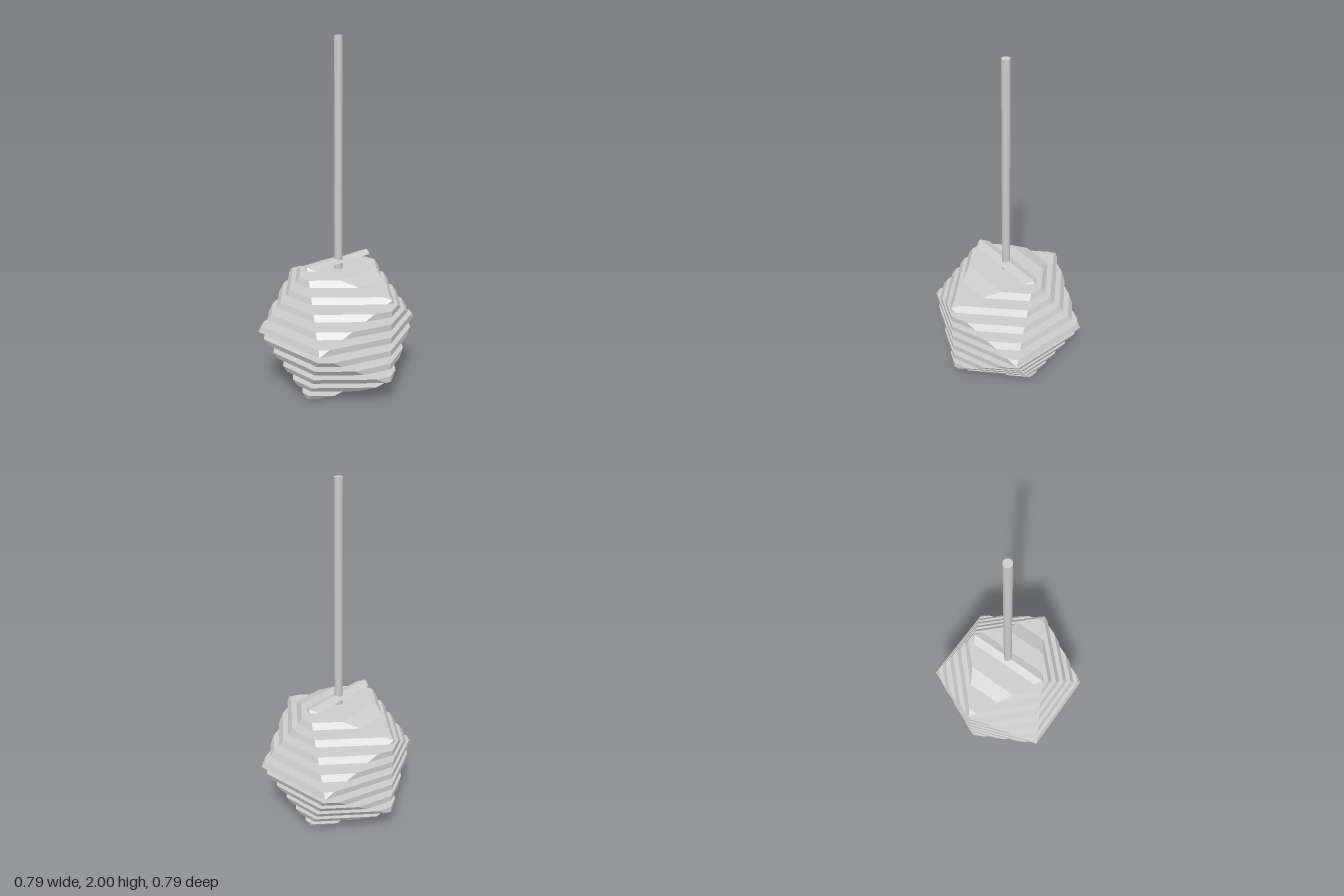
import * as THREE from 'three';
import { ConvexGeometry } from 'three/addons/geometries/ConvexGeometry.js';

const A = 0.245, B = 0.397;   // short and long half sizes of the icosahedron
const STRETCH = 1.006;        // slight vertical stretch
const PITCH = 0.076, THICK = 0.033, COUNT = 11;
const CENTRE = 5 * PITCH;     // the middle slab starts at the widest level

// The 12 icosahedron corners: three crossed rectangles
function icosahedronCorners() {
  const corners = [];
  for (const s of [-1, 1]) for (const t of [-1, 1]) {
    corners.push(
      new THREE.Vector3(s * A, t * B, 0),
      new THREE.Vector3(0, s * A, t * B),
      new THREE.Vector3(t * B, 0, s * A));
  }
  return corners;
}

// The part of the icosahedron between two heights, as a closed solid
function slabGeometry(corners, low, high) {
  const points = corners.filter(c => c.y >= low && c.y <= high).map(c => c.clone());
  for (let i = 0; i < corners.length; i++) {
    for (let j = i + 1; j < corners.length; j++) {
      const a = corners[i], b = corners[j];
      if (a.distanceTo(b) > 2.2 * A) continue;   // neighbours only
      for (const y of [low, high]) {
        const t = (y - a.y) / (b.y - a.y);
        if (t > 1e-6 && t < 1 - 1e-6) points.push(a.clone().lerp(b, t));
      }
    }
  }
  return new ConvexGeometry(points);
}

export function createModel() {
  const group = new THREE.Group();
  const material = new THREE.MeshStandardMaterial({ color: 0xcccccc, flatShading: true });

  // Lamp shade: a stack of separate slabs
  const shade = new THREE.Group();
  shade.name = 'slicedShade';
  const corners = icosahedronCorners();
  for (let k = 0; k < COUNT; k++) {
    const low = k * PITCH - CENTRE;
    const slab = new THREE.Mesh(slabGeometry(corners, low, low + THICK), material);
    slab.name = `slab${k + 1}`;
    shade.add(slab);
  }
  shade.scale.y = STRETCH;
  shade.position.y = CENTRE * STRETCH;
  group.add(shade);

  // Hanging rod, ending just below the second slab from the top
  const bottom = 0.684;
  const rod = new THREE.Mesh(
    new THREE.CylinderGeometry(0.023, 0.023, 2 - bottom, 16),
    material);
  rod.name = 'hangingRod';
  rod.position.y = (2 + bottom) / 2;
  group.add(rod);

  return group;
}
